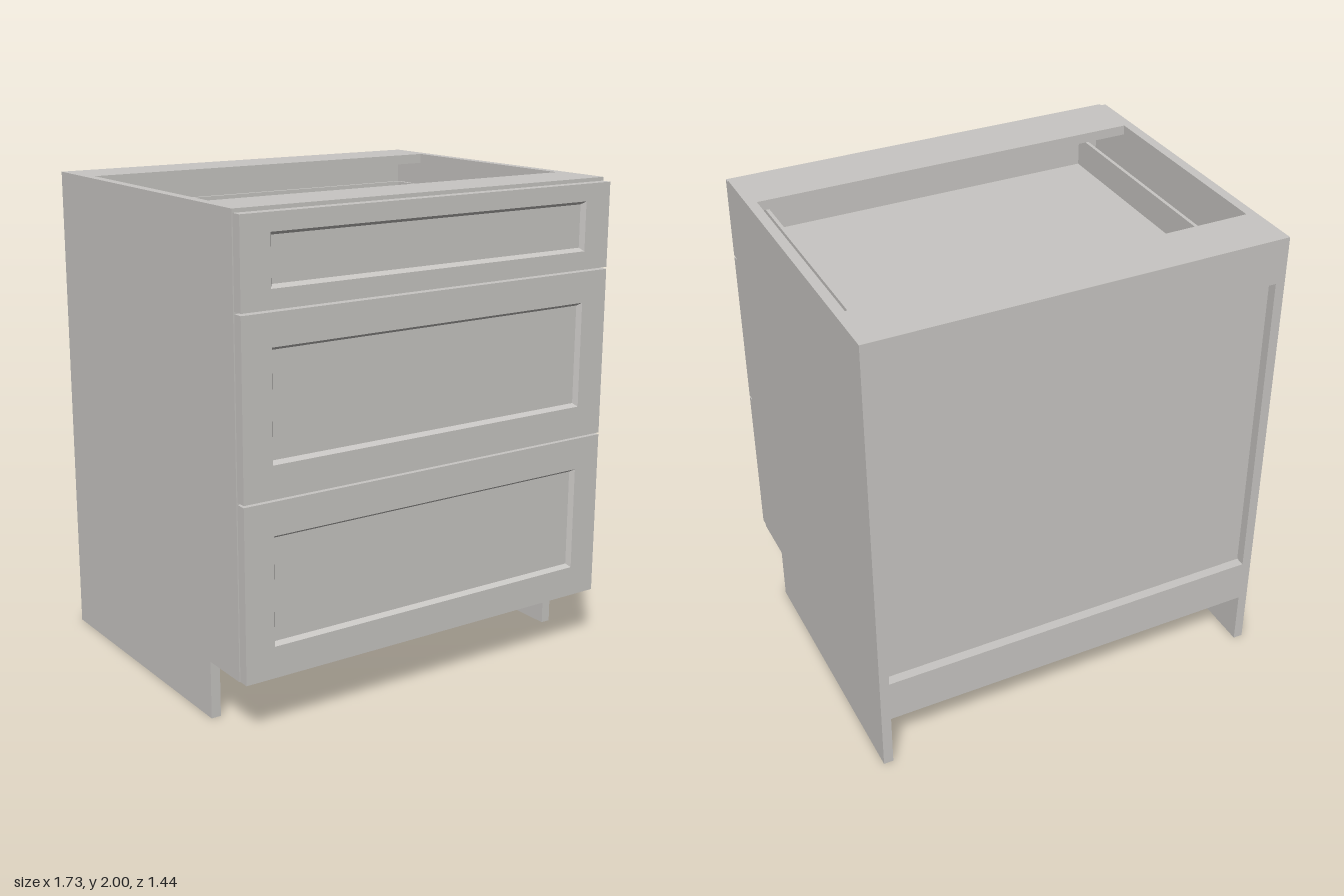
import * as THREE from 'three';

const paint = new THREE.MeshStandardMaterial({ color: 0xc8c6c3 });
paint.name = 'warm grey paint';

// Box given by its minimum and maximum corners
function slab(parent, name, [x0, y0, z0], [x1, y1, z1]) {
  const mesh = new THREE.Mesh(new THREE.BoxGeometry(x1 - x0, y1 - y0, z1 - z0), paint);
  mesh.position.set((x0 + x1) / 2, (y0 + y1) / 2, (z0 + z1) / 2);
  mesh.name = name;
  parent.add(mesh);
}

// Solid made of nested rectangular rings [halfWidth, bottom, top, z], back to front
function ringSolid(rings) {
  const corners = rings.map(([w, b, t, z]) => [[-w, b, z], [w, b, z], [w, t, z], [-w, t, z]]);
  const points = [];
  const quad = (a, b, c, d) => points.push(...a, ...b, ...c, ...a, ...c, ...d);
  for (let r = 0; r < corners.length - 1; r++) {
    const p = corners[r], q = corners[r + 1];
    for (let i = 0; i < 4; i++) {
      const j = (i + 1) % 4;
      quad(p[i], p[j], q[j], q[i]);
    }
  }
  const back = corners[0], front = corners[corners.length - 1];
  quad(back[3], back[2], back[1], back[0]);
  quad(...front);
  const geometry = new THREE.BufferGeometry();
  geometry.setAttribute('position', new THREE.Float32BufferAttribute(points, 3));
  geometry.computeVertexNormals();
  return geometry;
}

export function createModel() {
  const cabinet = new THREE.Group();
  cabinet.name = 'drawerCabinet';
  const W = 0.867, IN = 0.826, BACK = -0.72, FACE = 0.675, FRONT = 0.72, T = 0.041;

  // Side panels with a toe notch at the lower front
  const profile = new THREE.Shape();
  [[BACK, 0], [0.457, 0], [0.457, 0.238], [FACE, 0.238], [FACE, 2], [BACK, 2]]
    .forEach(([z, y], i) => (i ? profile.lineTo(-z, y) : profile.moveTo(-z, y)));
  const sideGeometry = new THREE.ExtrudeGeometry(profile, { depth: W - IN, bevelEnabled: false });
  sideGeometry.rotateY(Math.PI / 2);
  for (const [name, x] of [['leftSide', IN], ['rightSide', -W]]) {
    const side = new THREE.Mesh(sideGeometry, paint);
    side.position.x = x;
    side.name = name;
    cabinet.add(side);
  }

  // Carcass: floor, top rails, back rails and recessed back
  slab(cabinet, 'bottomPanel', [-IN, 0.238, BACK], [IN, 0.238 + T, FACE]);
  slab(cabinet, 'topFrontRail', [-IN, 2 - T, 0.44], [IN, 2, FACE]);
  slab(cabinet, 'topBackRail', [-IN, 2 - T, BACK], [IN, 2, -0.49]);
  slab(cabinet, 'upperBackRail', [-IN, 1.81, BACK], [IN, 2 - T, BACK + T]);
  slab(cabinet, 'lowerBackRail', [-IN, 0.238 + T, BACK], [IN, 0.427, BACK + T]);
  slab(cabinet, 'backPanel', [-IN, 0.238 + T, BACK + T], [IN, 2 - T, BACK + T + 0.015]);

  // Drawers: front bottom and top, recess bottom and top, box bottom and top
  const drawers = [
    ['bottomDrawer', 0.238, 0.932, 0.365, 0.8, 0.33, 0.82],
    ['middleDrawer', 0.94, 1.632, 1.07, 1.505, 1.03, 1.52],
    ['topDrawer', 1.64, 1.985, 1.715, 1.915, 1.735, 1.876],
  ];
  for (const [name, y0, y1, r0, r1, b0, b1] of drawers) {
    const drawer = new THREE.Group();
    drawer.name = name;
    cabinet.add(drawer);

    // Framed front with a chamfered recess
    const w = 0.863, c = 0.013;
    const front = new THREE.Mesh(ringSolid([
      [w, y0, y1, FACE + 0.001],
      [w, y0, y1, FRONT],
      [0.738, r0, r1, FRONT],
      [0.738 - c, r0 + c, r1 - c, FRONT - 0.02],
    ]), paint);
    front.name = 'drawerFront';
    drawer.add(front);

    // Open box behind the front
    const o = 0.745, i = 0.73, zb = -0.545, zf = FACE;
    slab(drawer, 'boxFloor', [-i, b0, zb + 0.015], [i, b0 + 0.015, zf - 0.015]);
    slab(drawer, 'boxLeft', [i, b0, zb], [o, b1, zf]);
    slab(drawer, 'boxRight', [-o, b0, zb], [-i, b1, zf]);
    slab(drawer, 'boxBack', [-i, b0, zb], [i, b1, zb + 0.015]);
    slab(drawer, 'boxFront', [-i, b0, zf - 0.015], [i, b1, zf]);
  }
  return cabinet;
}
